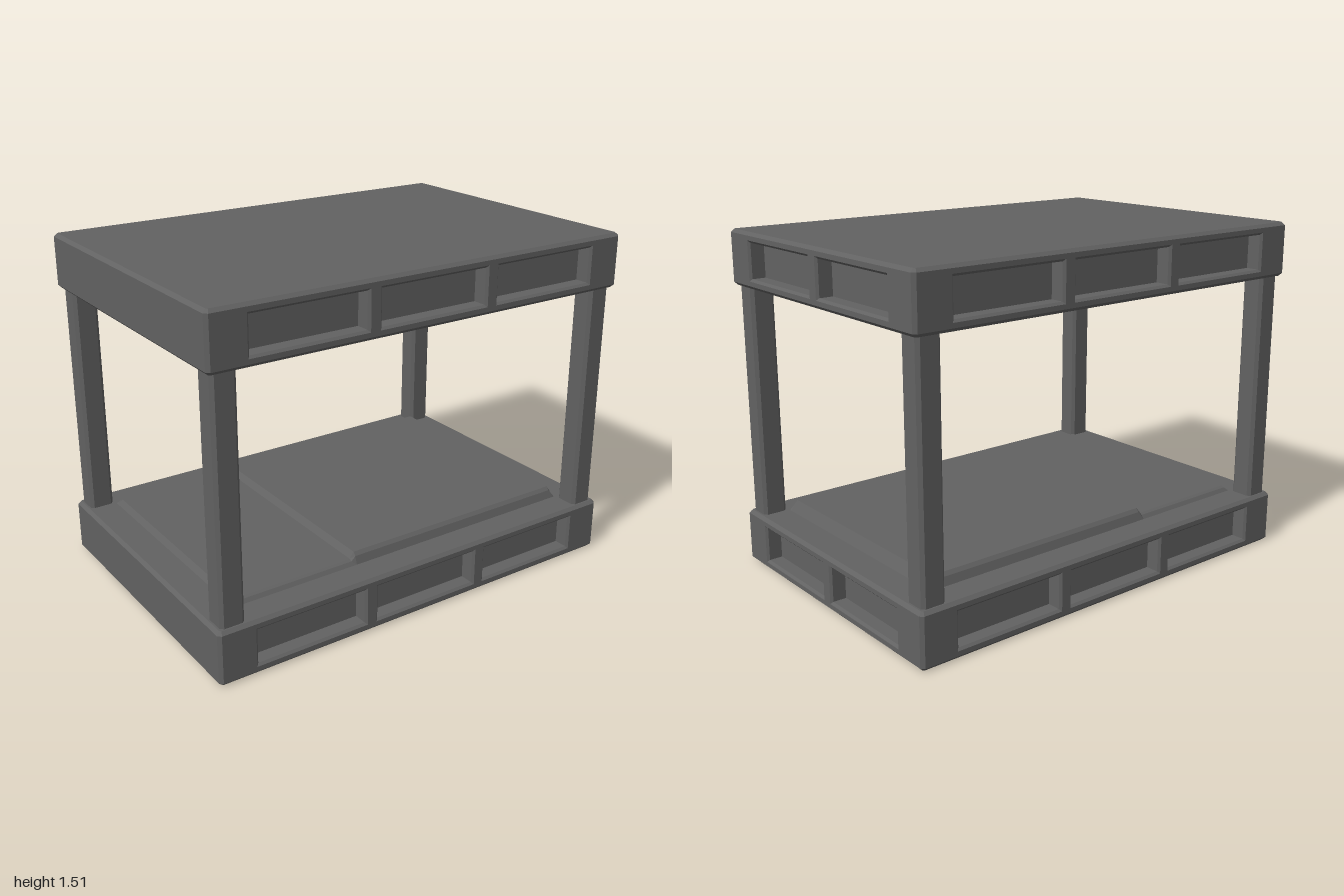
import * as THREE from 'three';

const W = 2, D = 1.36, H = 0.24, BEVEL = 0.014, RECESS = 0.07;
const material = new THREE.MeshStandardMaterial({ color: 0x626262, flatShading: true, side: THREE.DoubleSide });

function part(name, geometry, parent) {
  const mesh = new THREE.Mesh(geometry, material);
  mesh.name = name;
  parent.add(mesh);
  return mesh;
}

// Flat-shaded skin through a list of point rings, optionally closed and capped
function loft(rings, { closed = true, cap = false } = {}) {
  const pos = [];
  const tri = (...pts) => pts.forEach((p) => pos.push(...p));
  const n = rings[0].length;
  for (let i = 0; i < rings.length - 1; i++) {
    for (let j = 0; j < (closed ? n : n - 1); j++) {
      const k = (j + 1) % n;
      const a = rings[i][j], b = rings[i][k], c = rings[i + 1][k], d = rings[i + 1][j];
      tri(a, b, c);
      tri(a, c, d);
    }
  }
  const last = rings[rings.length - 1];
  if (cap) for (let j = 1; j < n - 1; j++) tri(last[0], last[j], last[j + 1]);
  const geometry = new THREE.BufferGeometry();
  geometry.setAttribute('position', new THREE.Float32BufferAttribute(pos, 3));
  geometry.computeVertexNormals();
  return geometry;
}

// Rectangle with cut corners, counter-clockwise
function cutCorners(w, d, c) {
  const x = w / 2, y = d / 2;
  return [[x, -y + c], [x, y - c], [x - c, y], [-x + c, y], [-x, y - c], [-x, -y + c], [-x + c, -y], [x - c, -y]];
}
const level = (pts, y) => pts.map(([a, b]) => [a, y, -b]);

function rectangle(x, w, h, inset, z) {
  const a = w / 2 - inset, b = h / 2 - inset;
  return [[x - a, -b, z], [x + a, -b, z], [x + a, b, z], [x - a, b, z]];
}

function shapeFrom(pts) {
  return new THREE.Shape(pts.map(([x, y]) => new THREE.Vector2(x, y)));
}

// Side wall facing +z, pierced by a row of recessed panels
function wall(name, width, panelCentres, panelWidth) {
  const group = new THREE.Group();
  group.name = name;
  const x = width / 2 - BEVEL, y = H / 2 - BEVEL, panelHeight = 0.172;
  const face = shapeFrom([[-x, -y], [x, -y], [x, y], [-x, y]]);
  for (const cx of panelCentres) {
    face.holes.push(shapeFrom(rectangle(cx, panelWidth, panelHeight, 0, 0)));
    part('recessedPanel', loft([
      rectangle(cx, panelWidth, panelHeight, 0, 0),
      rectangle(cx, panelWidth, panelHeight, 0.01, -0.01),
      rectangle(cx, panelWidth, panelHeight, 0.01, -RECESS),
    ], { cap: true }), group);
  }
  part('wallFace', new THREE.ShapeGeometry(face), group);
  return group;
}

// Bevelled rim, with or without its flat cover
function rim(cap) {
  return loft([
    level(cutCorners(W, D, BEVEL), H / 2 - BEVEL),
    level(cutCorners(W - 2 * BEVEL, D - 2 * BEVEL, BEVEL / 2), H / 2),
  ], { cap });
}

// Panelled box centred on its own origin; one end is left plain
function panelledFrame(name, covered) {
  const group = new THREE.Group();
  group.name = name;
  const sides = [
    ['frontWall', W, [-0.573, 0, 0.573], 0.528],
    ['leftWall', D, [-0.273, 0.273], 0.5],
    ['backWall', W, [-0.573, 0, 0.573], 0.528],
    ['plainEndWall', D, [], 0],
  ];
  sides.forEach(([label, width, centres, panelWidth], i) => {
    const side = wall(label, width, centres, panelWidth);
    side.rotation.y = i * Math.PI / 2;
    side.position.set([0, W / 2, 0, -W / 2][i], 0, [D / 2, 0, -D / 2, 0][i]);
    group.add(side);
  });
  for (const sx of [-1, 1]) for (const sz of [-1, 1]) {
    const corner = part('cornerBevel', new THREE.PlaneGeometry(BEVEL * Math.SQRT2, H - 2 * BEVEL), group);
    corner.position.set(sx * (W - BEVEL) / 2, 0, sz * (D - BEVEL) / 2);
    corner.rotation.y = Math.atan2(sx, sz);
  }
  part('topRim', rim(covered), group);
  part('bottomRim', rim(covered), group).rotation.x = Math.PI;
  return group;
}

export function createModel() {
  const model = new THREE.Group();
  model.name = 'canopyBed';

  // Hollow base, open underneath
  const base = panelledFrame('base', false);
  base.position.y = H / 2;
  model.add(base);

  // Deck around the mattress opening
  const mx = 0.86, mz = 0.545;
  const deckShape = shapeFrom(cutCorners(W - 2 * BEVEL, D - 2 * BEVEL, BEVEL / 2));
  deckShape.holes.push(shapeFrom([[-mx, -mz], [mx, -mz], [mx, mz], [-mx, mz]]));
  const deck = part('deck', new THREE.ShapeGeometry(deckShape), base);
  deck.rotation.x = -Math.PI / 2;
  deck.position.y = H / 2;

  // Mattress skin: low pillow end stepping up to the blanket
  const stations = [[-mx, 0], [-0.84, 0.023], [-0.29, 0.023], [-0.27, 0.05], [0.835, 0.05], [mx, 0]];
  const sections = stations.map(([x, h]) => [
    [x, H, -mz], [x, H + h * 0.7, -0.533], [x, H + h, -0.52],
    [x, H + h, 0.52], [x, H + h * 0.7, 0.533], [x, H, mz],
  ]);
  part('mattress', loft(sections, { closed: false }), model);

  // Corner posts
  const post = cutCorners(0.108, 0.104, 0.014);
  const postGeometry = loft([level(post, H), level(post, 1.267)]);
  for (const sx of [-1, 1]) for (const sz of [-1, 1]) {
    part('post', postGeometry, model).position.set(sx * 0.924, 0, sz * 0.608);
  }

  // Closed canopy
  const canopy = panelledFrame('canopy', true);
  canopy.position.y = 1.266 + H / 2;
  model.add(canopy);

  return model;
}
